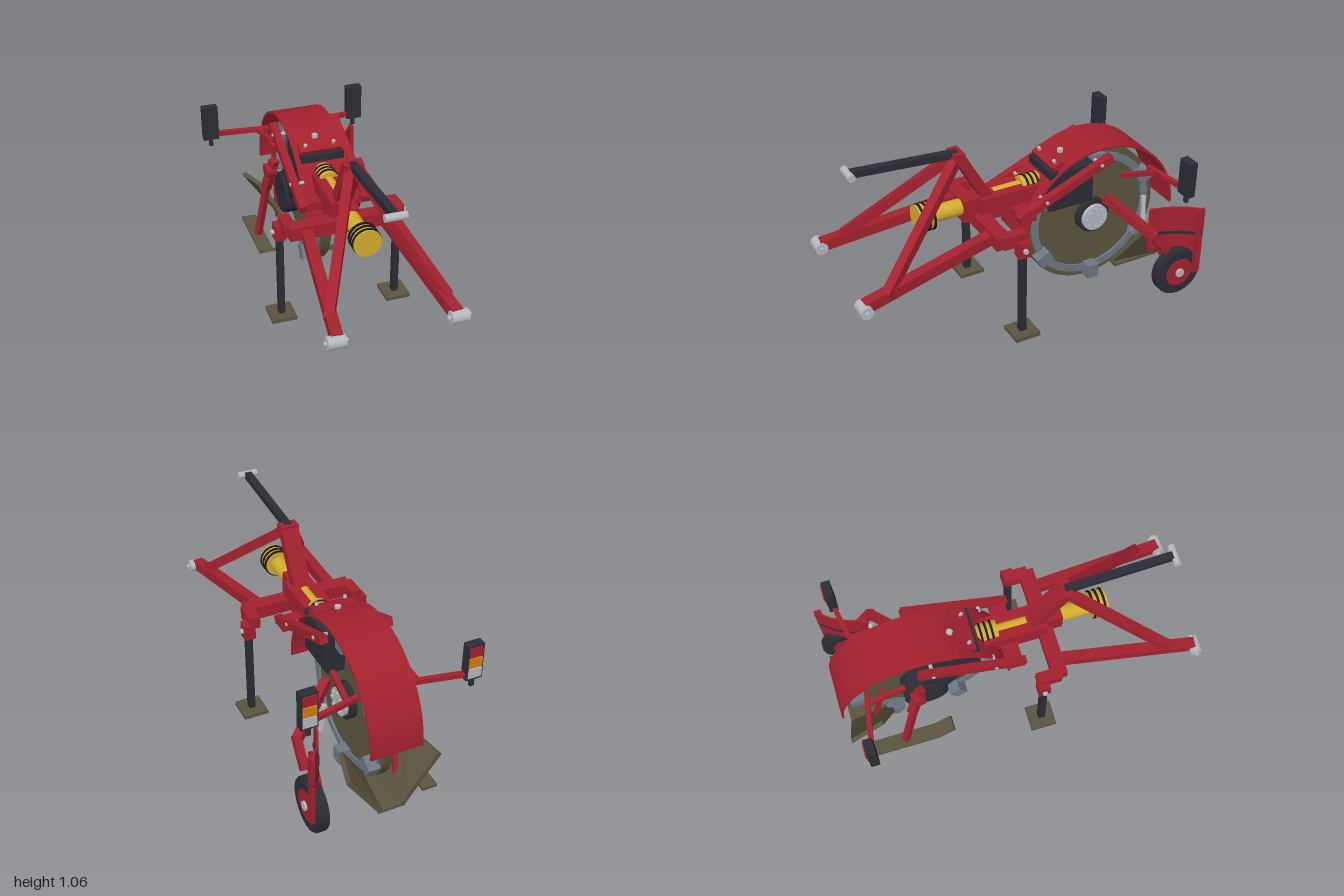
import * as THREE from 'three';

const mat = (name, color, side = THREE.FrontSide) => {
  const m = new THREE.MeshStandardMaterial({ color, side });
  m.name = name;
  return m;
};

export function createModel() {
  const red = mat('red paint', 0xa3212e, THREE.DoubleSide);
  const dark = mat('dark steel', 0x2b2c35);
  const black = mat('black rubber', 0x19191d);
  const yellow = mat('yellow guard', 0xd2ab2c);
  const olive = mat('worn steel', 0x5b543f, THREE.DoubleSide);
  const blue = mat('blue grey steel', 0x6c7883);
  const silver = mat('silver', 0xb4b8bd);
  const orange = mat('orange lens', 0xd47c12);

  const root = new THREE.Group();
  root.name = 'wheelTrencher';
  const MID = 0.025; // implement centre plane
  const V = (x, y, z) => new THREE.Vector3(x, y, z);
  const mx = (s, d) => MID + s * d;

  const add = (name, geo, m, x = 0, y = 0, z = 0, parent = root) => {
    const o = new THREE.Mesh(geo, m);
    o.name = name;
    o.position.set(x, y, z);
    parent.add(o);
    return o;
  };
  // box given by its limits
  const box = (name, m, x0, x1, y0, y1, z0, z1, parent = root) =>
    add(name, new THREE.BoxGeometry(x1 - x0, y1 - y0, z1 - z0), m, (x0 + x1) / 2, (y0 + y1) / 2, (z0 + z1) / 2, parent);
  // straight bar between two points
  const beam = (name, m, a, b, w, h = w) => {
    const o = add(name, new THREE.BoxGeometry(w, h, a.distanceTo(b)), m);
    o.position.copy(a).lerp(b, 0.5);
    o.lookAt(b);
  };
  // cylinders along x and z
  const cylX = (name, m, r, x0, x1, y, z, n = 32) =>
    add(name, new THREE.CylinderGeometry(r, r, x1 - x0, n).rotateZ(Math.PI / 2), m, (x0 + x1) / 2, y, z);
  const cylZ = (name, m, rFront, rBack, z0, z1, x, y) =>
    add(name, new THREE.CylinderGeometry(rFront, rBack, z1 - z0, 28).rotateX(Math.PI / 2), m, x, y, (z0 + z1) / 2);

  // Digging wheel
  const WY = 0.42, WZ = -0.5;
  cylX('diggingDisc', olive, 0.41, 0, 0.05, WY, WZ, 64);
  for (const s of [1, -1]) {
    for (let k = 0; k < 6; k++) {
      const a = (k * 60 + (s > 0 ? 30 : 0)) * Math.PI / 180;
      const gap = 0.05, sh = new THREE.Shape();
      sh.absarc(0, 0, 0.378, a + gap, a + Math.PI / 3 - gap, false);
      sh.absarc(0, 0, 0.335, a + Math.PI / 3 - gap, a + gap, true);
      const g = new THREE.ExtrudeGeometry(sh, { depth: 0.012, bevelEnabled: false, curveSegments: 10 });
      add('rimSegment', g.rotateY(Math.PI / 2), blue, s > 0 ? 0.05 : -0.012, WY, WZ);
      const t = add('diggingTooth', new THREE.BoxGeometry(0.065, 0.085, 0.07), blue,
        mx(s, 0.058), WY + Math.sin(a) * 0.362, WZ - Math.cos(a) * 0.362);
      t.rotation.x = a - Math.PI / 2;
    }
  }

  // Hub and drive
  cylX('hubRing', dark, 0.1, 0.04, 0.09, WY, WZ);
  cylX('hubPlate', silver, 0.078, 0.09, 0.112, WY, WZ);
  for (let k = 0; k < 8; k++) {
    const a = k * Math.PI / 4;
    cylX('hubBolt', silver, 0.009, 0.11, 0.125, WY + Math.sin(a) * 0.055, WZ + Math.cos(a) * 0.055, 6);
  }
  cylX('driveHub', dark, 0.12, -0.125, 0.01, WY, WZ);
  const caseShape = new THREE.Shape([[-0.19, 0.58], [-0.44, 0.58], [-0.44, 0.8], [-0.19, 0.8]]
    .map(([z, y]) => new THREE.Vector2(z, y)));
  const gear = new THREE.ExtrudeGeometry(caseShape, { depth: 0.23, bevelSize: 0.008, bevelThickness: 0.008, bevelSegments: 2 });
  add('gearbox', gear.rotateY(-Math.PI / 2), dark, 0.145, 0, 0);
  beam('driveCase', dark, V(-0.08, 0.42, -0.5), V(-0.08, 0.66, -0.33), 0.06, 0.17);

  // Curved guard over the wheel
  const guardShape = new THREE.Shape();
  guardShape.absarc(0, 0, 0.47, 0, Math.PI, false);
  guardShape.absarc(0, 0, 0.458, Math.PI, 0, true);
  add('wheelGuard', new THREE.ExtrudeGeometry(guardShape, { depth: 0.285, bevelEnabled: false, curveSegments: 32 })
    .rotateY(Math.PI / 2), red, -0.12, WY, WZ);
  const hatch = new THREE.Group();
  hatch.name = 'guardHatch';
  hatch.position.set(MID, 0.825, -0.24);
  hatch.rotation.x = 0.45;
  root.add(hatch);
  box('hatchPlate', red, -0.115, 0.115, -0.015, 0.02, -0.035, 0.035, hatch);
  for (const x of [-0.08, 0.08])
    add('hatchBolt', new THREE.CylinderGeometry(0.01, 0.01, 0.02, 6), silver, x, 0.028, 0, hatch);
  add('guardBolt', new THREE.CylinderGeometry(0.018, 0.018, 0.02, 6), silver, MID, 0.858, -0.31);

  // Main frame
  box('mainBody', red, -0.05, 0.1, 0.6, 0.73, -0.18, 0.2);
  box('bodyNose', red, -0.02, 0.07, 0.6, 0.73, 0.19, 0.29);
  box('crossBeam', red, -0.285, 0.335, 0.565, 0.64, 0.155, 0.235);
  box('guardMount', red, -0.17, 0.22, 0.6, 0.645, -0.06, 0.03);
  for (const s of [-1, 1]) {
    beam('sideArm', red, V(mx(s, 0.178), 0.62, 0.04), V(mx(s, 0.178), 0.85, -0.52), 0.042, 0.045);
    for (const z of [-0.12, -0.45])
      cylX('armBolt', silver, 0.01, mx(s, 0.165) - 0.04, mx(s, 0.165) + 0.04, 0.69 - (z + 0.12) * 0.41, z, 8);
    // hitch
    beam('lowerLink', red, V(mx(s, 0.21), 0.605, 0.17), V(mx(s, 0.305), 0.475, 0.96), 0.058, 0.06);
    beam('mastBrace', red, V(mx(s, 0.012), 0.99, 0.3), V(mx(s, 0.305), 0.5, 0.84), 0.05, 0.05);
    const ex = mx(s, 0.313);
    cylX('linkEye', silver, 0.034, ex - 0.045, ex + 0.045, 0.467, 0.965, 20);
    cylX('linkPin', silver, 0.012, ex - 0.06, ex + 0.06, 0.467, 0.965, 10);
    // parking leg
    const lx = mx(s, 0.33);
    box('legBracket', red, mx(s, 0.3) - 0.03, mx(s, 0.3) + 0.03, 0.57, 0.64, 0.07, 0.2);
    box('legSocket', red, lx - 0.03, lx + 0.03, 0.51, 0.6, 0.065, 0.13);
    box('parkingLeg', dark, lx - 0.017, lx + 0.017, 0.03, 0.55, 0.08, 0.117);
    box('legFoot', olive, lx - 0.07, lx + 0.07, 0.01, 0.032, 0.022, 0.168);
    cylX('legPin', silver, 0.014, lx - 0.046, lx + 0.046, 0.555, 0.098, 10);
  }
  beam('mastPost', red, V(MID, 1.0, 0.305), V(MID, 0.69, 0.13), 0.095, 0.055);
  box('mastHead', red, -0.025, 0.075, 0.96, 1.015, 0.275, 0.335);
  beam('topLink', dark, V(MID, 1.0, 0.3), V(MID, 1.04, 0.88), 0.04, 0.036);
  cylX('topLinkEye', silver, 0.02, -0.03, 0.08, 1.04, 0.88, 18);

  // Drive shaft with bell guards
  cylZ('shaftTube', yellow, 0.045, 0.045, 0.18, 0.46, MID, 0.68);
  cylZ('frontBell', yellow, 0.075, 0.07, 0.45, 0.54, MID, 0.68);
  for (const z of [0.462, 0.492, 0.522]) cylZ('frontBellRib', black, 0.078, 0.078, z - 0.006, z + 0.006, MID, 0.68);
  cylZ('rearShaft', yellow, 0.027, 0.027, -0.08, 0.1, MID, 0.712);
  cylZ('rearBell', yellow, 0.055, 0.058, -0.17, -0.06, MID, 0.705);
  for (const z of [-0.15, -0.12, -0.09]) cylZ('rearBellRib', black, 0.06, 0.06, z - 0.006, z + 0.006, MID, 0.705);

  // Rear lamps on outriggers
  for (const s of [-1, 1]) {
    const x = s * 0.44;
    beam('lampArm', red, V(mx(s, 0.13), 0.685, -0.8), V(x, 0.675, -0.855), 0.026);
    beam('lampStrut', red, V(mx(s, 0.17), 0.71, -0.6), V(mx(s, 0.19), 0.68, -0.81), 0.025);
    box('lampHousing', dark, x - 0.045, x + 0.045, 0.65, 0.855, -0.875, -0.828);
    box('lampStem', dark, x - 0.011, x + 0.011, 0.6, 0.68, -0.865, -0.845);
    for (const [m, y0, y1] of [[red, 0.79, 0.845], [orange, 0.727, 0.783], [silver, 0.665, 0.72]])
      box('lampLens', m, x - 0.036, x + 0.036, y0, y1, -0.882, -0.874);
  }

  // Depth wheel and its arm
  cylX('depthTyre', dark, 0.138, 0.385, 0.45, 0.145, -0.85, 40);
  cylX('tyreTread', dark, 0.145, 0.396, 0.439, 0.145, -0.85, 40);
  cylX('depthWheelRim', red, 0.085, 0.381, 0.454, 0.145, -0.85);
  cylX('depthWheelHub', silver, 0.026, 0.37, 0.465, 0.145, -0.85, 16);
  beam('wheelArm', red, V(0.18, 0.59, -0.51), V(0.42, 0.42, -0.68), 0.045, 0.05);
  beam('wheelArmLower', red, V(0.42, 0.44, -0.67), V(0.42, 0.3, -0.77), 0.04, 0.045);
  beam('wheelFork', red, V(0.365, 0.36, -0.73), V(0.365, 0.145, -0.85), 0.02, 0.05);
  beam('adjusterRod', silver, V(0.3, 0.44, -0.685), V(0.28, 0.6, -0.69), 0.022);

  // Curved deflector: upright panels along a bent line
  const line = [[0.335, -0.7], [0.365, -0.8], [0.41, -0.89], [0.472, -0.965]];
  for (let i = 0; i < 3; i++) {
    const [[xa, za], [xb, zb]] = [line[i], line[i + 1]];
    const y0 = i === 2 ? 0.25 : 0.27;
    const ends = (y) => [V(xa, y, za), V(xb, y, zb)];
    beam('deflectorPanel', red, ...ends((y0 + 0.54) / 2), 0.01, 0.54 - y0);
    beam('deflectorStrip', dark, ...ends(0.38), 0.019, 0.018);
  }
  box('deflectorTail', red, 0.455, 0.476, 0.13, 0.54, -0.968, -0.93);

  // Trench cleaner: floor and two flared wings
  box('cleanerFloor', olive, -0.05, 0.1, 0.028, 0.045, -0.95, -0.66);
  for (const s of [-1, 1]) {
    const corners = [[0.075, 0.035, -0.95], [0.04, 0.035, -0.66], [0.215, 0.33, -0.77], [0.262, 0.31, -0.96]];
    const pts = [];
    for (const t of [0, 0.022]) for (const [d, y, z] of corners) pts.push(mx(s, d - t), y + t * 0.6, z);
    const idx = [0, 1, 2, 0, 2, 3, 4, 6, 5, 4, 7, 6];
    for (let i = 0; i < 4; i++) {
      const j = (i + 1) % 4;
      idx.push(i, i + 4, j + 4, i, j + 4, j);
    }
    if (s > 0) idx.reverse();
    const g = new THREE.BufferGeometry();
    g.setAttribute('position', new THREE.Float32BufferAttribute(pts, 3));
    g.setIndex(idx);
    const flat = g.toNonIndexed();
    flat.computeVertexNormals();
    add('cleanerWing', flat, olive);
  }
  beam('cleanerStay', red, V(-0.1, 0.62, -0.72), V(-0.06, 0.06, -0.82), 0.025);

  // Side skid and leg
  box('skidSole', olive, -0.265, -0.18, 0.028, 0.045, -0.9, -0.49);
  beam('skidNose', olive, V(-0.2225, 0.036, -0.495), V(-0.2225, 0.1, -0.4), 0.085, 0.017);
  beam('skidLegSleeve', red, V(-0.15, 0.62, -0.53), V(-0.185, 0.4, -0.6), 0.045);
  beam('skidLeg', red, V(-0.18, 0.46, -0.58), V(-0.222, 0.04, -0.68), 0.034);
  cylX('skidPivot', red, 0.04, -0.2, -0.14, 0.55, -0.55, 20);

  return root;
}
